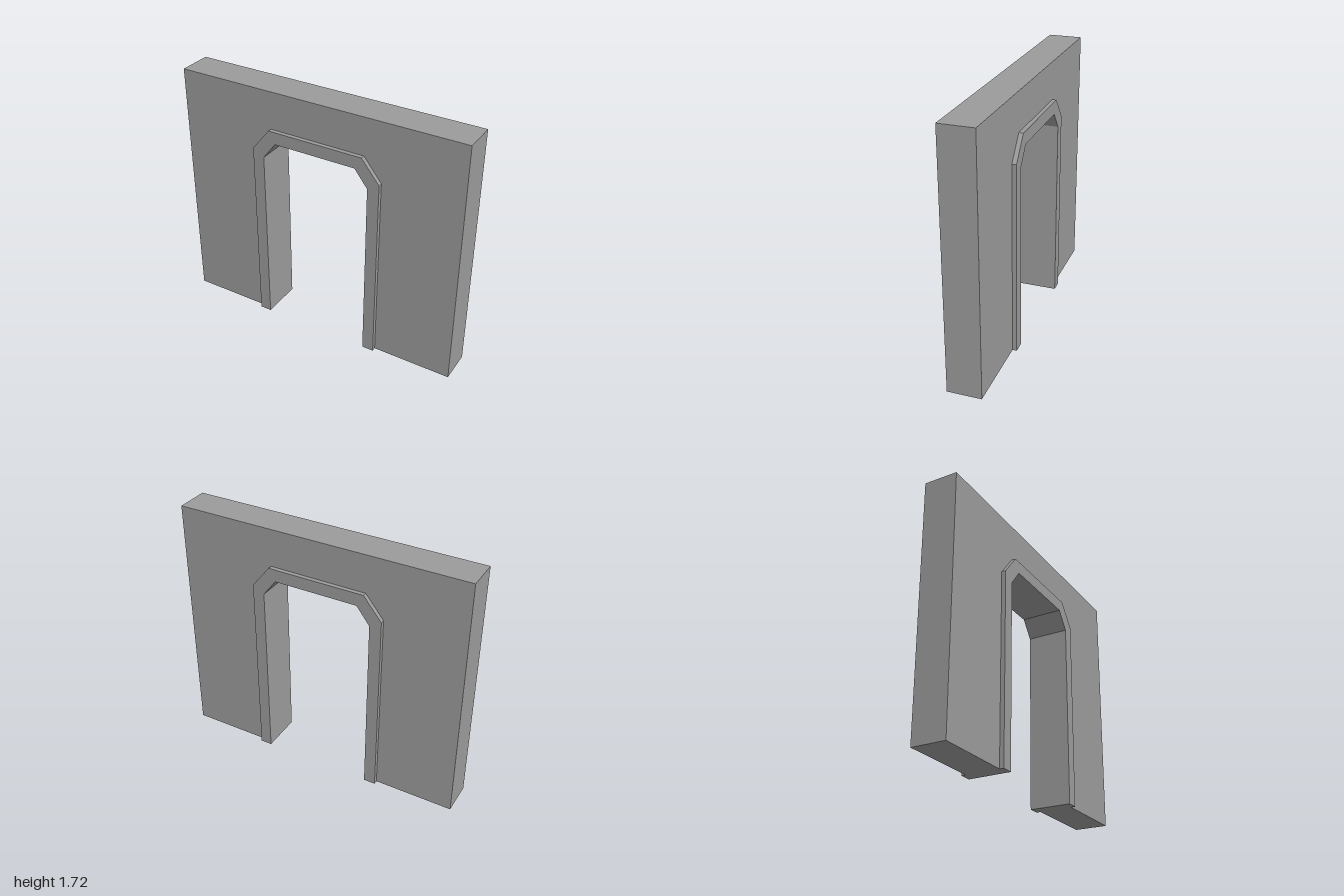
import * as THREE from 'three';

// Half profiles (x, y) of the chamfered doorway, from the floor up
const OUTER = [[0.457, 0], [0.457, 1.304], [0.333, 1.458]];
const INNER = [[0.377, 0], [0.377, 1.256], [0.287, 1.373]];

// Full arch line from the right foot (-x) over the top to the left foot (+x)
function archPoints(half) {
  const right = half.map(([x, y]) => new THREE.Vector2(-x, y));
  const left = half.map(([x, y]) => new THREE.Vector2(x, y)).reverse();
  return [...right, ...left];
}

// Flat-sided slab centred on z = 0
function slab(name, points, depth, material) {
  const geometry = new THREE.ExtrudeGeometry(new THREE.Shape(points), { depth, bevelEnabled: false });
  geometry.translate(0, 0, -depth / 2);
  const mesh = new THREE.Mesh(geometry, material);
  mesh.name = name;
  return mesh;
}

export function createModel() {
  const group = new THREE.Group();
  group.name = 'doorwayWall';
  const material = new THREE.MeshStandardMaterial({ color: 0x9b9b9b, flatShading: true });

  // Wall panel, notched to receive the door frame
  const wallOutline = [
    new THREE.Vector2(1, 0), new THREE.Vector2(1, 1.715),
    new THREE.Vector2(-1, 1.715), new THREE.Vector2(-1, 0),
    ...archPoints(OUTER),
  ];
  group.add(slab('wall', wallOutline, 0.228, material));

  // Door frame, standing proud of the wall on both faces
  const frameOutline = [...archPoints(OUTER), ...archPoints(INNER).reverse()];
  group.add(slab('doorFrame', frameOutline, 0.286, material));

  return group;
}
